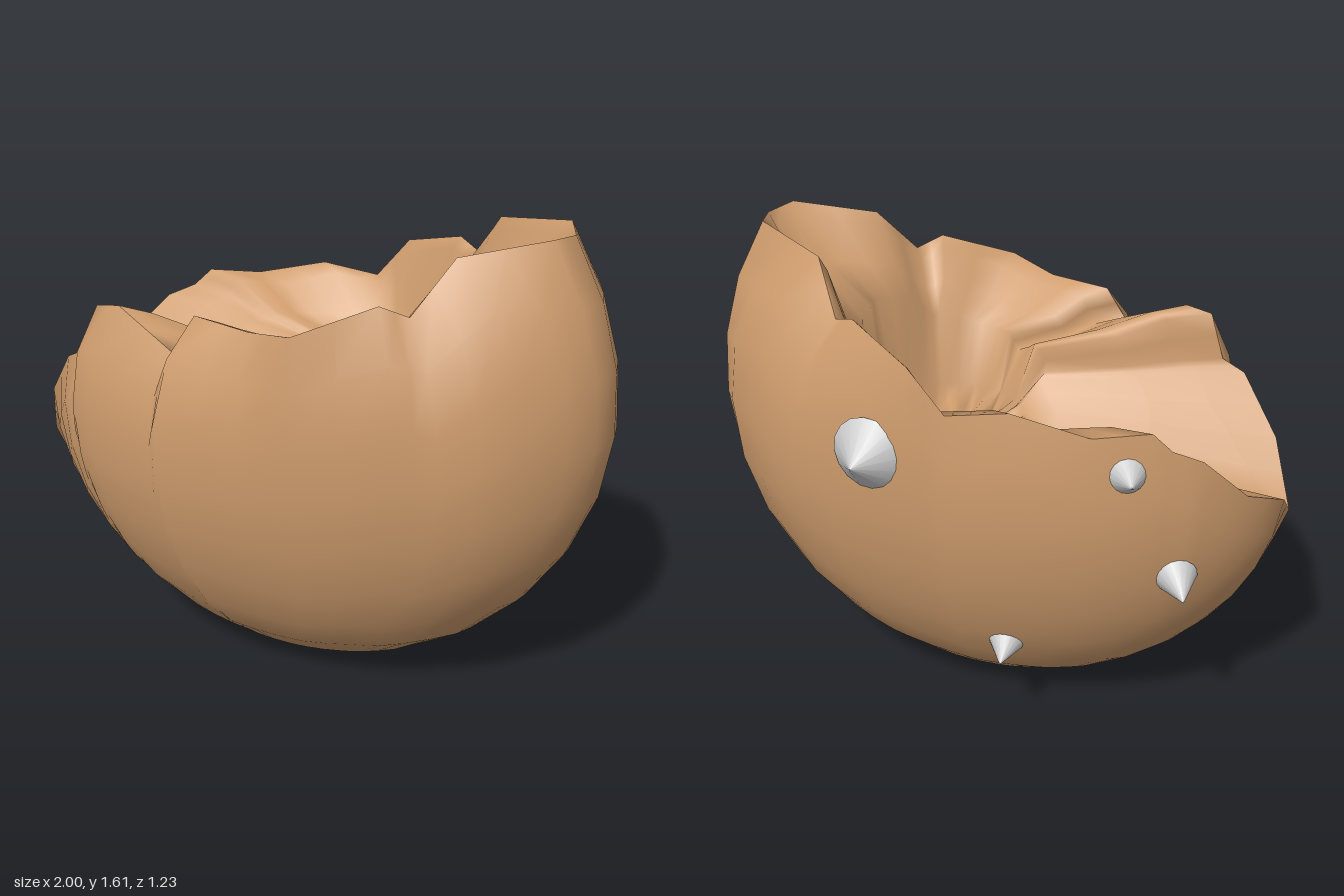
import * as THREE from 'three';

const CENTER = new THREE.Vector3(-0.02, 1.0, 0.047);
const RADII = new THREE.Vector3(1.02, 1.01, 0.575);

// Jagged rim: from the tall end (+x), along the front, the low end, and back
const RIM = [
  [0.83, 1.6, 0.05], [0.79, 1.61, 0.16], [0.53, 1.56, 0.28], [0.43, 1.4, 0.4],
  [0.35, 1.44, 0.45], [0.12, 1.355, 0.58], [-0.05, 1.32, 0.5], [-0.27, 1.32, 0.43],
  [-0.33, 1.2, 0.47], [-0.56, 1.305, 0.4], [-0.65, 1.29, 0.385], [-0.7, 1.13, 0.385],
  [-0.78, 1.09, 0.38], [-0.92, 0.91, 0.28], [-1, 0.7, 0.17], [-1, 0.87, -0.07],
  [-0.9, 0.94, -0.21], [-0.77, 1.09, -0.31], [-0.68, 1.13, -0.35], [-0.62, 1.19, -0.37],
  [-0.45, 1.18, -0.44], [-0.2, 1.24, -0.47], [0, 1.21, -0.49], [0.12, 1.355, -0.49],
  [0.35, 1.43, -0.36], [0.43, 1.4, -0.31], [0.53, 1.56, -0.2], [0.79, 1.61, -0.07],
].map((p) => new THREE.Vector3(...p));

// Skin a list of closed rings; faces point outward for rings running upward
function loft(rings, material, name) {
  const n = rings[0].length;
  const index = [];
  for (let j = 0; j < rings.length - 1; j++) {
    for (let i = 0; i < n; i++) {
      const a = j * n + i, b = j * n + ((i + 1) % n);
      index.push(a, a + n, b, b, a + n, b + n);
    }
  }
  const geometry = new THREE.BufferGeometry().setFromPoints(rings.flat());
  geometry.setIndex(index);
  geometry.computeVertexNormals();
  const mesh = new THREE.Mesh(geometry, material);
  mesh.name = name;
  return mesh;
}

// Rim with a point added in the middle of each edge
function rimPoints() {
  return RIM.flatMap((p, i) => [p.clone(), p.clone().lerp(RIM[(i + 1) % RIM.length], 0.5)]);
}

// Point on the ellipsoid between its bottom pole and a rim point
function outerPoint(rim, t) {
  const u = rim.clone().sub(CENTER).divide(RADII);
  const length = u.length();
  u.divideScalar(length);
  const polar = Math.acos(-u.y) * t;
  const flat = new THREE.Vector2(u.x, u.z).normalize();
  const r = 1 + (length - 1) * t ** 7;
  const p = new THREE.Vector3(flat.x * Math.sin(polar), -Math.cos(polar), flat.y * Math.sin(polar))
    .multiplyScalar(r).multiply(RADII).add(CENTER);
  p.y = Math.max(p.y, 0);
  return p;
}

// Hollow: thick sloping lip and shelf all round, then a steep wall to a small floor
function innerRings(rim) {
  const floor = (p, size, y) => {
    const a = Math.atan2((p.z - CENTER.z) / RADII.z, p.x / RADII.x);
    return new THREE.Vector3(0.16 + 0.26 * size * Math.cos(a), y, 0.01 + 0.28 * size * Math.sin(a));
  };
  const rough = (i, k) => Math.sin(i * 1.3 + k) * 0.025;
  const side = (p) => Math.min(1, Math.abs(p.z - CENTER.z) / 0.4);
  const back = (p) => THREE.MathUtils.clamp((CENTER.z - p.z) / 0.5, 0, 1);
  // Step inward by k, sinking toward the shelf height by the fraction f
  const step = (p, k, f) => {
    const q = p.clone().lerp(floor(p, 1, 0), k);
    q.y = THREE.MathUtils.lerp(p.y, 1.0, f);
    return q;
  };
  return [
    rim.map((p) => p.clone()),
    rim.map((p, i) => step(p, 0.08 + 0.16 * side(p) + rough(i, 0), 0.08)),
    rim.map((p, i) => step(p, 0.5 + rough(i, 4), 0.3 + 0.25 * back(p))),
    rim.map((p, i) => step(p, 0.9 + rough(i, 2), 0.48 + 0.4 * back(p))),
    rim.map((p) => floor(p, 0.95, 0.95)),
    rim.map((p, i) => floor(p, 0.75, 0.9 + rough(i, 3))),
    rim.map((p) => floor(p, 0, 0.87)),
  ];
}

// Cone with its tip at the given point, its axis following the given direction
function spike(tip, axis, radius, height, material) {
  const geometry = new THREE.ConeGeometry(radius, height, 16);
  geometry.translate(0, -height / 2, 0);
  const mesh = new THREE.Mesh(geometry, material);
  mesh.position.copy(tip);
  mesh.quaternion.setFromUnitVectors(new THREE.Vector3(0, 1, 0), axis.normalize());
  mesh.name = 'spike';
  return mesh;
}

export function createModel() {
  const group = new THREE.Group();
  group.name = 'brokenShell';
  const shell = new THREE.MeshStandardMaterial({ color: 0xcd9b6c, side: THREE.DoubleSide });
  const grey = new THREE.MeshStandardMaterial({ color: 0xcccccc });

  // Rounded outside and hollow inside meet in a sharp rim
  const rim = rimPoints();
  const outer = [];
  for (let j = 0; j <= 10; j++) outer.push(rim.map((p) => outerPoint(p, j / 10)));
  group.add(loft(outer, shell, 'outerShell'));
  group.add(loft(innerRings(rim), shell, 'hollow'));

  // Spikes on the back: tip, axis, radius, height
  for (const [tip, axis, radius, height] of [
    [[0.27, 1.04, -0.61], [0.1, 0.02, -1], 0.125, 0.12],
    [[-0.59, 1.06, -0.49], [-0.4, 0.05, -1], 0.07, 0.1],
    [[-0.76, 0.65, -0.43], [-0.45, -0.25, -1], 0.07, 0.12],
    [[-0.17, 0.3, -0.465], [-0.1, -0.3, -1], 0.07, 0.12],
  ]) group.add(spike(new THREE.Vector3(...tip), new THREE.Vector3(...axis), radius, height, grey));

  return group;
}
